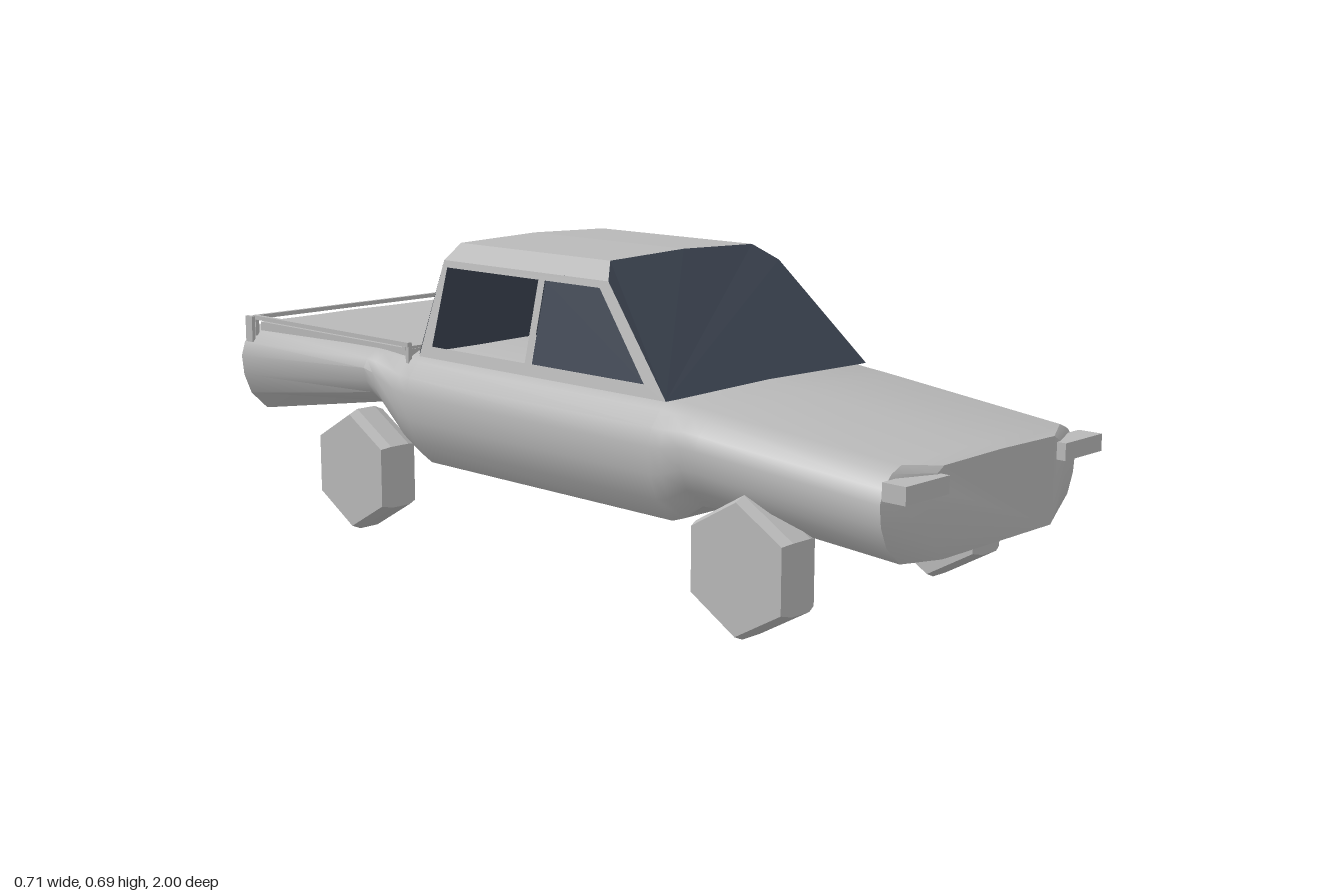
import * as THREE from 'three';
import { toCreasedNormals } from 'three/addons/utils/BufferGeometryUtils.js';

const paint = new THREE.MeshStandardMaterial({ name: 'greyPaint', color: 0xb8b8b8 });
const shell = new THREE.MeshStandardMaterial({ name: 'greyPanel', color: 0xb8b8b8, side: THREE.DoubleSide });
const glass = new THREE.MeshStandardMaterial({ name: 'darkGlass', color: 0x3b4350, side: THREE.DoubleSide });

// Builds a geometry from polygons (fans), each a list of [x, y, z]
function polygons(list, crease = 0) {
  const pos = [];
  for (const p of list)
    for (let i = 1; i < p.length - 1; i++) pos.push(...p[0], ...p[i], ...p[i + 1]);
  const g = new THREE.BufferGeometry();
  g.setAttribute('position', new THREE.Float32BufferAttribute(pos, 3));
  g.computeVertexNormals();
  return crease ? toCreasedNormals(g, crease) : g;
}

// Lofted lower body: each ring scales one rounded half-profile
function bodyGeometry() {
  const half = [[0.8, 0], [0.93, 0.2], [0.985, 0.42], [1, 0.64], [0.97, 0.79], [0.9, 0.92], [0.81, 0.985]];
  // z, half width, bottom, top
  const stations = [
    [-1, 0.345, 0.2, 0.418], [-0.5, 0.355, 0.285, 0.42], [-0.47, 0.355, 0.268, 0.42],
    [-0.39, 0.355, 0.182, 0.42], [-0.35, 0.355, 0.165, 0.42], [0.4, 0.355, 0.165, 0.417],
    [0.43, 0.354, 0.175, 0.413], [0.48, 0.352, 0.208, 0.408], [0.52, 0.35, 0.21, 0.404],
    [0.94, 0.318, 0.176, 0.364], [0.978, 0.222, 0.178, 0.357],
  ];
  const rings = stations.map(([z, w, b, t]) => {
    const right = half.map(([x, y]) => [x * w, b + y * (t - b), z]);
    const left = right.map(([x, y]) => [-x, y, z]).reverse();
    return [...right, [0, t, z], ...left];
  });
  const faces = [];
  for (let s = 0; s < rings.length - 1; s++) {
    const a = rings[s], b = rings[s + 1], n = a.length;
    for (let i = 0; i < n; i++) {
      const j = (i + 1) % n;
      faces.push([a[i], a[j], b[j], b[i]]);
    }
  }
  faces.push([...rings[0]].reverse(), rings[rings.length - 1]);
  return polygons(faces, 0.65);
}

// Side surface of the cabin leans inward with height
const lean = (y) => 0.315 - (y - 0.415) * 0.238;
function sidePanel(outline, holes, side, offset = 0) {
  const shape = new THREE.Shape(outline.map((p) => new THREE.Vector2(...p)));
  for (const h of holes) shape.holes.push(new THREE.Path(h.map((p) => new THREE.Vector2(...p))));
  const g = new THREE.ShapeGeometry(shape);
  const p = g.attributes.position;
  for (let i = 0; i < p.count; i++) {
    const z = p.getX(i), y = p.getY(i);
    p.setXYZ(i, side * (lean(y) + offset), y, z);
  }
  // Turn the faces outward on the +x side
  if (side > 0) {
    const idx = g.index.array;
    for (let i = 0; i < idx.length; i += 3) [idx[i], idx[i + 1]] = [idx[i + 1], idx[i]];
  }
  g.computeVertexNormals();
  return g;
}

export function createModel() {
  const model = new THREE.Group();
  model.name = 'pickupTruck';
  const add = (name, geometry, material, parent = model) => {
    const m = new THREE.Mesh(geometry, material);
    m.name = name;
    parent.add(m);
    return m;
  };
  const box = (name, x0, x1, y0, y1, z0, z1, parent) => {
    const m = add(name, new THREE.BoxGeometry(Math.abs(x1 - x0), y1 - y0, z1 - z0), paint, parent);
    m.position.set((x0 + x1) / 2, (y0 + y1) / 2, (z0 + z1) / 2);
    return m;
  };

  add('body', bodyGeometry(), paint);

  // Cabin: roof with chamfered edges, windscreen and rear glass
  const cabin = new THREE.Group();
  cabin.name = 'cabin';
  model.add(cabin);
  const arch = [[0.265, 0.625], [0.22, 0.66], [0, 0.667], [-0.22, 0.66], [-0.265, 0.625]];
  const frontZ = [0.2, 0.16, 0.16, 0.16, 0.2];
  const rearZ = [-0.317, -0.312, -0.31, -0.312, -0.317];
  const front = arch.map(([x, y], i) => [x, y, frontZ[i]]);
  const rear = arch.map(([x, y], i) => [x, y, rearZ[i]]);
  const roof = [];
  for (let i = 0; i < 4; i++) roof.push([front[i], rear[i], rear[i + 1], front[i + 1]]);
  add('roof', polygons(roof), shell, cabin);
  add('windscreen', polygons([[[-0.315, 0.412, 0.41], [0.315, 0.412, 0.41], ...front]]), glass, cabin);
  add('rearWindow', polygons([[[-0.315, 0.418, -0.348], ...[...rear].reverse(), [0.315, 0.418, -0.348]]]), glass, cabin);

  // Side frames, with one glazed and one open window on each side
  const outline = [[0.41, 0.412], [0.2, 0.625], [-0.317, 0.625], [-0.348, 0.412]];
  const frontWindow = [[0.345, 0.437], [0.178, 0.61], [0.014, 0.61], [0.014, 0.437]];
  const backWindow = [[-0.006, 0.437], [-0.006, 0.61], [-0.303, 0.61], [-0.31, 0.437]];
  for (const side of [1, -1]) {
    add('sideFrame', sidePanel(outline, [frontWindow, backWindow], side), shell, cabin);
    add('sideWindow', sidePanel(side > 0 ? backWindow : frontWindow, [], side, -0.002), glass, cabin);
  }

  // Load bed with a thin rail on corner posts
  const bed = new THREE.Group();
  bed.name = 'loadBed';
  model.add(bed);
  box('bedCover', -0.31, 0.31, 0.38, 0.423, -0.965, -0.385, bed);
  box('frontRail', -0.325, 0.325, 0.421, 0.429, -0.397, -0.387, bed);
  box('rearRail', -0.325, 0.325, 0.43, 0.44, -0.975, -0.965, bed);
  for (const s of [1, -1]) {
    box('sideRail', s * 0.315, s * 0.327, 0.43, 0.44, -0.975, -0.375, bed);
    for (const z of [-0.975, -0.385]) box('railPost', s * 0.315, s * 0.325, 0.39, 0.432, z, z + 0.01, bed);
    box('tailLight', s * 0.327, s * 0.336, 0.375, 0.438, -0.992, -0.965);
    box('headlight', s * 0.19, s * 0.32, 0.306, 0.341, 0.945, 0.998);
  }

  // Six-sided wheels with slightly bevelled rims
  const profile = [[0, -0.048], [0.132, -0.048], [0.142, -0.025], [0.142, 0.025], [0.132, 0.048], [0, 0.048]];
  const tyre = toCreasedNormals(
    new THREE.LatheGeometry(profile.map((p) => new THREE.Vector2(...p)), 6), 0.1);
  tyre.rotateY(Math.PI / 2);
  tyre.rotateZ(Math.PI / 2);
  for (const x of [0.306, -0.306])
    for (const z of [0.63, -0.56])
      add(z > 0 ? 'frontWheel' : 'rearWheel', tyre, paint).position.set(x, 0.123, z);

  return model;
}
